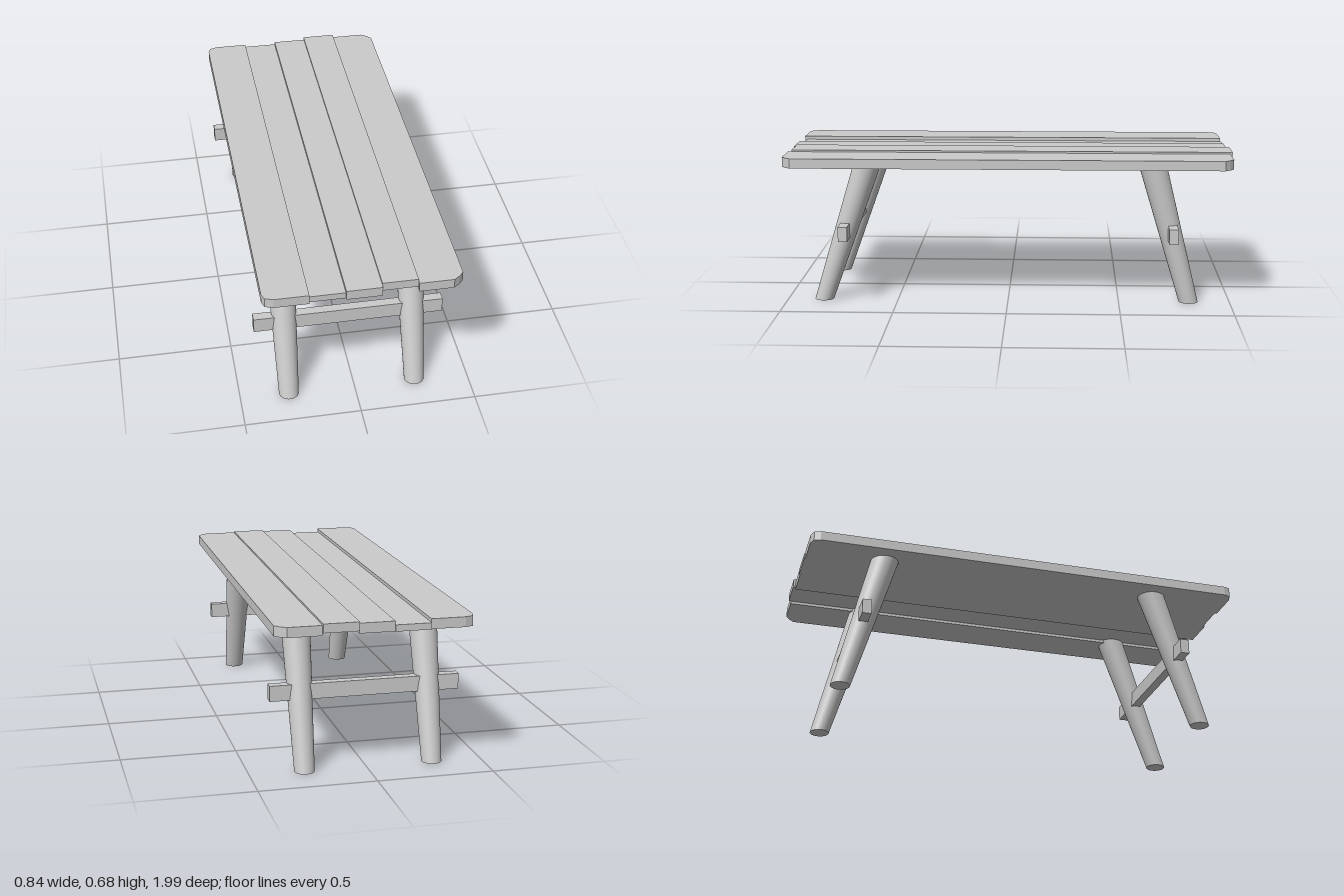
import * as THREE from 'three';

const material = new THREE.MeshStandardMaterial({ color: 0xcccccc });

function add(parent, name, geometry) {
  const mesh = new THREE.Mesh(geometry, material);
  mesh.name = name;
  parent.add(mesh);
  return mesh;
}

// Board lying flat; corners on its outer side (-1 left edge, 1 right edge, 0 none) are softened
function plankGeometry({ x0, x1, y0, y1, z0, z1, outer = 0, cut = [] }) {
  const right = outer >= 0;
  const edge = right ? x1 : x0;
  const inner = right ? x0 : x1;
  const s = right ? -1 : 1;
  const points = [[inner, z0]];
  if (outer) {
    cut.forEach(([dx, dz]) => points.push([edge + s * dx, z0 + dz]));
    [...cut].reverse().forEach(([dx, dz]) => points.push([edge + s * dx, z1 - dz]));
  } else {
    points.push([edge, z0], [edge, z1]);
  }
  points.push([inner, z1]);
  const shape = new THREE.Shape(points.map(([x, z]) => new THREE.Vector2(x, -z)));
  const geometry = new THREE.ExtrudeGeometry(shape, { depth: y1 - y0, bevelEnabled: false });
  return geometry.rotateX(-Math.PI / 2).translate(0, y0, 0);
}

// Tapered round leg, sheared along z so both ends stay level
function legGeometry(x, zBottom, zTop) {
  const height = 0.64;
  const geometry = new THREE.CylinderGeometry(0.063, 0.043, height, 32);
  geometry.translate(0, height / 2, 0);
  const slope = (zTop - zBottom) / height;
  geometry.applyMatrix4(new THREE.Matrix4().set(
    1, 0, 0, x,
    0, 1, 0, 0,
    0, slope, 1, zBottom,
    0, 0, 0, 1));
  return geometry;
}

export function createModel() {
  const table = new THREE.Group();
  table.name = 'plankTable';

  // Tabletop of five uneven boards
  const top = new THREE.Group();
  top.name = 'tabletop';
  table.add(top);
  const planks = [
    { x0: -0.41, x1: -0.22, y0: 0.627, y1: 0.67, z0: -0.99, z1: 0.993, outer: -1,
      cut: [[0.045, 0], [0.01, 0.012], [0, 0.04]] },
    { x0: -0.22, x1: -0.07, y0: 0.627, y1: 0.655, z0: -0.995, z1: 0.983 },
    { x0: -0.07, x1: 0.08, y0: 0.627, y1: 0.67, z0: -0.99, z1: 0.993 },
    { x0: 0.08, x1: 0.23, y0: 0.64, y1: 0.678, z0: -1, z1: 0.977 },
    { x0: 0.23, x1: 0.42, y0: 0.627, y1: 0.67, z0: -0.99, z1: 0.993, outer: 1,
      cut: [[0.045, 0], [0.02, 0.018], [0, 0.04]] },
  ];
  planks.forEach((plank, i) => add(top, `plank${i + 1}`, plankGeometry(plank)));

  // Two trestles: splayed legs joined by a through stretcher
  const trestles = [
    { name: 'front', zBottom: 0.837, zTop: 0.625, zBar: 0.73 },
    { name: 'back', zBottom: -0.815, zTop: -0.64, zBar: -0.735 },
  ];
  for (const { name, zBottom, zTop, zBar } of trestles) {
    const trestle = new THREE.Group();
    trestle.name = `${name}Trestle`;
    table.add(trestle);
    add(trestle, `${name}RightLeg`, legGeometry(-0.288, zBottom, zTop));
    add(trestle, `${name}LeftLeg`, legGeometry(0.266, zBottom, zTop));
    add(trestle, `${name}Stretcher`, new THREE.BoxGeometry(0.82, 0.067, 0.041))
      .position.set(-0.011, 0.327, zBar);
  }
  return table;
}
